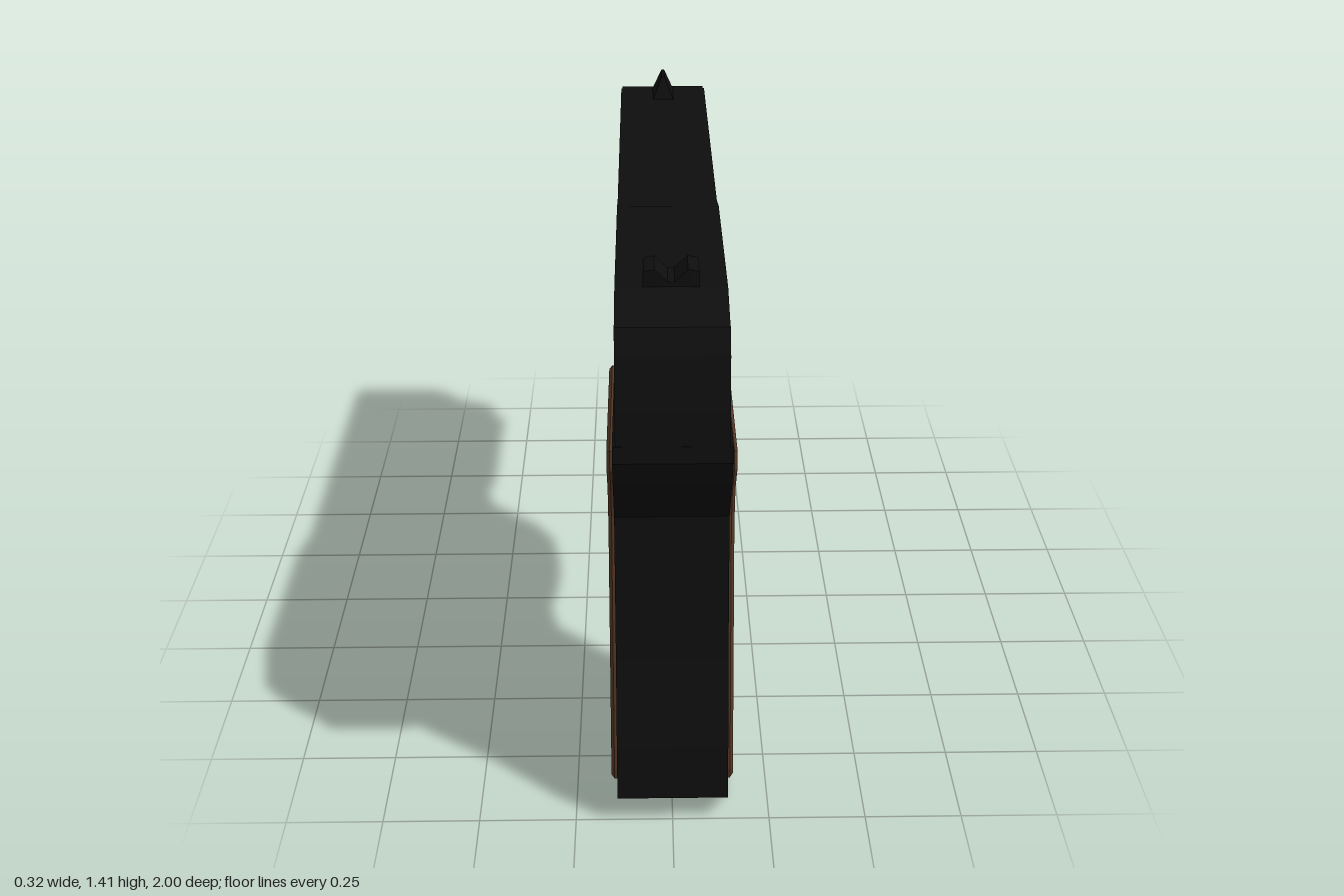
import * as THREE from 'three';

const black = new THREE.MeshStandardMaterial({ color: 0x0e0e0e });
black.name = 'black steel';
const brown = new THREE.MeshStandardMaterial({ color: 0x523624 });
brown.name = 'brown wood';

const points = (list) => list.map(([a, b]) => new THREE.Vector2(a, b));

// Extrudes a side profile of [z, y] points across x, centred on the given x
function sidePart(name, material, profile, width, { x = 0, hole, bevel = 0 } = {}) {
  const shape = new THREE.Shape(points(profile));
  if (hole) shape.holes.push(new THREE.Path(points(hole)));
  const depth = width - 2 * bevel;
  const geometry = new THREE.ExtrudeGeometry(shape, {
    depth, bevelEnabled: bevel > 0, bevelSize: bevel, bevelThickness: bevel,
    bevelOffset: -bevel, bevelSegments: 1,
  });
  geometry.translate(0, 0, -depth / 2).rotateY(-Math.PI / 2).translate(x, 0, 0);
  const mesh = new THREE.Mesh(geometry, material);
  mesh.name = name;
  return mesh;
}

export function createModel() {
  const model = new THREE.Group();
  model.name = 'pistol';

  // Frame with grip core and trigger guard
  model.add(sidePart('frame', black, [
    [0.93, 1.07], [0.94, 1.03], [0.9, 0.95], [0.82, 0.81], [0.9, 0.43], [0.97, 0.215],
    [1, 0.07], [0.92, 0.01], [0.88, 0], [0.56, 0], [0.5, 0.01], [0.44, 0.06],
    [0.45, 0.215], [0.41, 0.43], [0.345, 0.61], [0.25, 0.643], [0.17, 0.627],
    [0.05, 0.615], [-0.02, 0.627], [-0.135, 0.66], [-0.2, 0.74], [-0.23, 0.825],
    [-0.265, 0.93], [-0.335, 0.963], [-0.425, 0.943], [-0.885, 0.943], [-0.885, 1],
    [-0.96, 1], [-0.962, 1.07],
  ], 0.284, {
    hole: [
      [0.12, 0.915], [-0.055, 0.915], [-0.125, 0.905], [-0.18, 0.86], [-0.19, 0.79],
      [-0.17, 0.72], [-0.115, 0.665], [-0.02, 0.64], [0.115, 0.655], [0.22, 0.685],
      [0.28, 0.745], [0.308, 0.81], [0.297, 0.857], [0.25, 0.9], [0.185, 0.917],
    ],
  }));

  // Slide and the lip at its muzzle end
  model.add(sidePart('slide', black, [
    [0.932, 1.06], [0.91, 1.155], [0.87, 1.275], [0.83, 1.33], [0.795, 1.335],
    [0.69, 1.367], [0.16, 1.367], [0.05, 1.34], [-0.965, 1.34], [-0.965, 1.06],
  ], 0.27));
  model.add(sidePart('muzzleLip', black, [
    [-0.95, 1.34], [-0.985, 1.34], [-1, 1.31], [-1, 1.25], [-0.985, 1.2], [-0.95, 1.2],
  ], 0.262));

  // Curved trigger
  model.add(sidePart('trigger', black, [
    [0.138, 0.93], [0.138, 0.855], [0.11, 0.85], [0.085, 0.81], [0.045, 0.76],
    [-0.02, 0.722], [-0.03, 0.742], [0.025, 0.775], [0.067, 0.825], [0.083, 0.87],
    [0.083, 0.93],
  ], 0.07));

  // Wooden grip panel on each side
  const panel = [
    [0.83, 1.003], [0.375, 1.003], [0.365, 0.97], [0.42, 0.765], [0.47, 0.745],
    [0.495, 0.685], [0.47, 0.61], [0.59, 0.13], [0.61, 0.096], [0.87, 0.1],
    [0.935, 0.08], [0.935, 0.11], [0.78, 0.7], [0.77, 0.78], [0.78, 0.86], [0.84, 0.95],
  ];
  for (const [name, side] of [['leftGripPanel', 1], ['rightGripPanel', -1]]) {
    model.add(sidePart(name, brown, panel, 0.036, { x: side * 0.14, bevel: 0.008 }));
  }

  // Notched rear sight, narrowing towards its top
  const rearShape = new THREE.Shape(points([
    [-0.069, 1.35], [0.069, 1.35], [0.067, 1.405], [0.04, 1.41], [0.008, 1.378],
    [-0.008, 1.378], [-0.04, 1.41], [-0.067, 1.405],
  ]));
  const rear = new THREE.ExtrudeGeometry(rearShape, { depth: 0.1, bevelEnabled: false });
  rear.translate(0, 0, 0.588);
  const pos = rear.attributes.position;
  for (let i = 0; i < pos.count; i++) {
    if (pos.getY(i) > 1.37) pos.setZ(i, 0.638 + (pos.getZ(i) - 0.638) * 0.86);
  }
  rear.computeVertexNormals();
  const rearSight = new THREE.Mesh(rear, black);
  rearSight.name = 'rearSight';
  model.add(rearSight);

  // Wedge-shaped front sight
  const frontSight = sidePart('frontSight', black, [
    [-0.84, 1.335], [-0.87, 1.407], [-0.95, 1.407], [-0.968, 1.335],
  ], 0.07);
  const wedge = frontSight.geometry.attributes.position;
  for (let i = 0; i < wedge.count; i++) {
    if (wedge.getY(i) > 1.39) wedge.setX(i, wedge.getX(i) * 0.12);
  }
  frontSight.geometry.computeVertexNormals();
  model.add(frontSight);

  return model;
}
